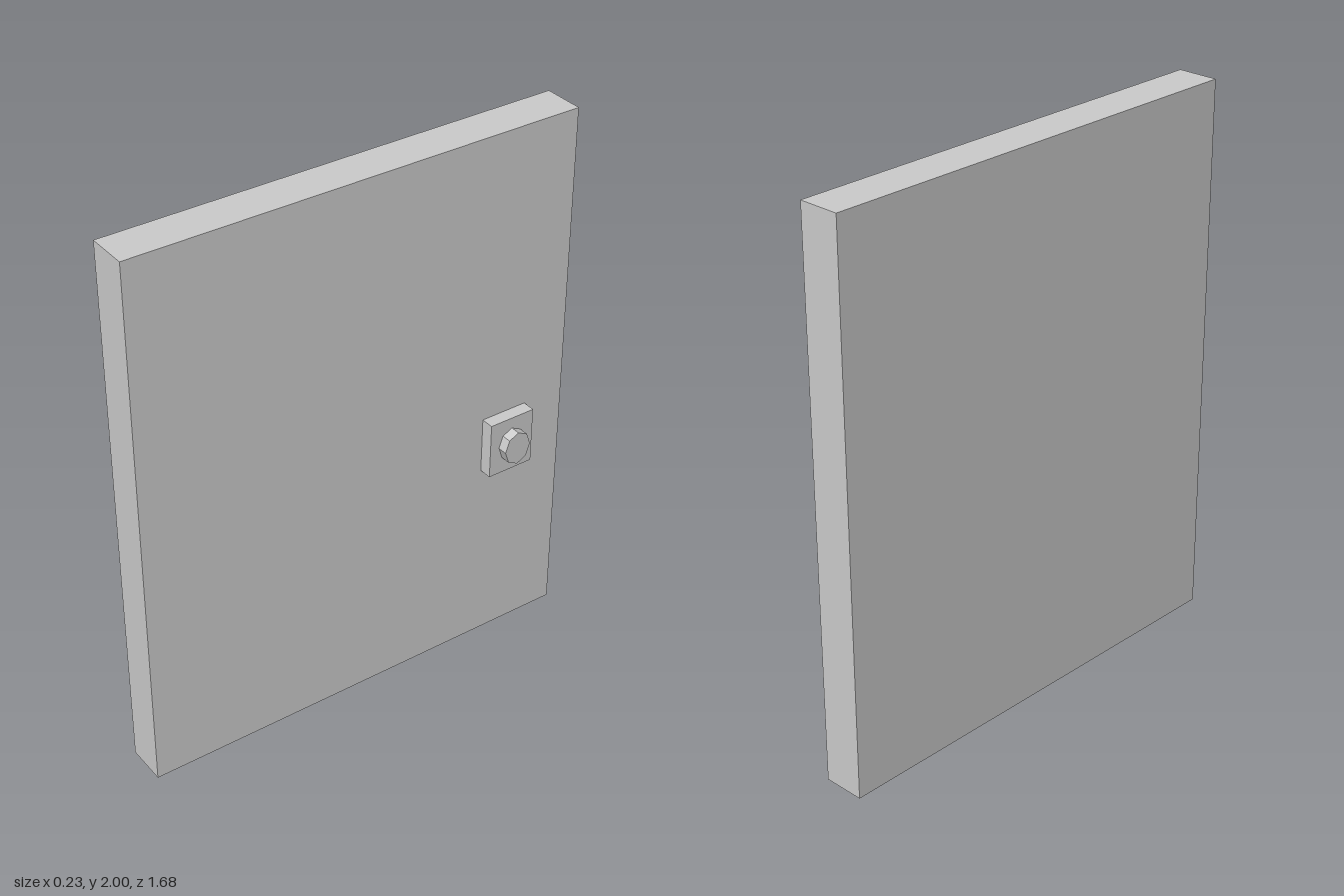
import * as THREE from 'three';

export function createModel() {
  const group = new THREE.Group();
  const grey = new THREE.MeshStandardMaterial({ color: 0xcccccc, flatShading: true });
  grey.name = 'light grey';

  const add = (name, geometry, x, y, z) => {
    const mesh = new THREE.Mesh(geometry, grey);
    mesh.name = name;
    mesh.position.set(x, y, z);
    group.add(mesh);
    return mesh;
  };

  // Door slab, standing in the yz plane
  add('doorPanel', new THREE.BoxGeometry(0.15, 2, 1.68), -0.043, 1, 0);

  // Square plate behind the knob
  add('knobPlate', new THREE.BoxGeometry(0.05, 0.212, 0.18), 0.055, 0.82, -0.59);

  // Eight-sided oval knob, axis along x
  const knob = new THREE.CylinderGeometry(1, 1, 0.037, 8);
  knob.rotateZ(-Math.PI / 2);
  knob.scale(1, 0.064, 0.053);
  add('knob', knob, 0.0975, 0.82, -0.59);

  return group;
}
